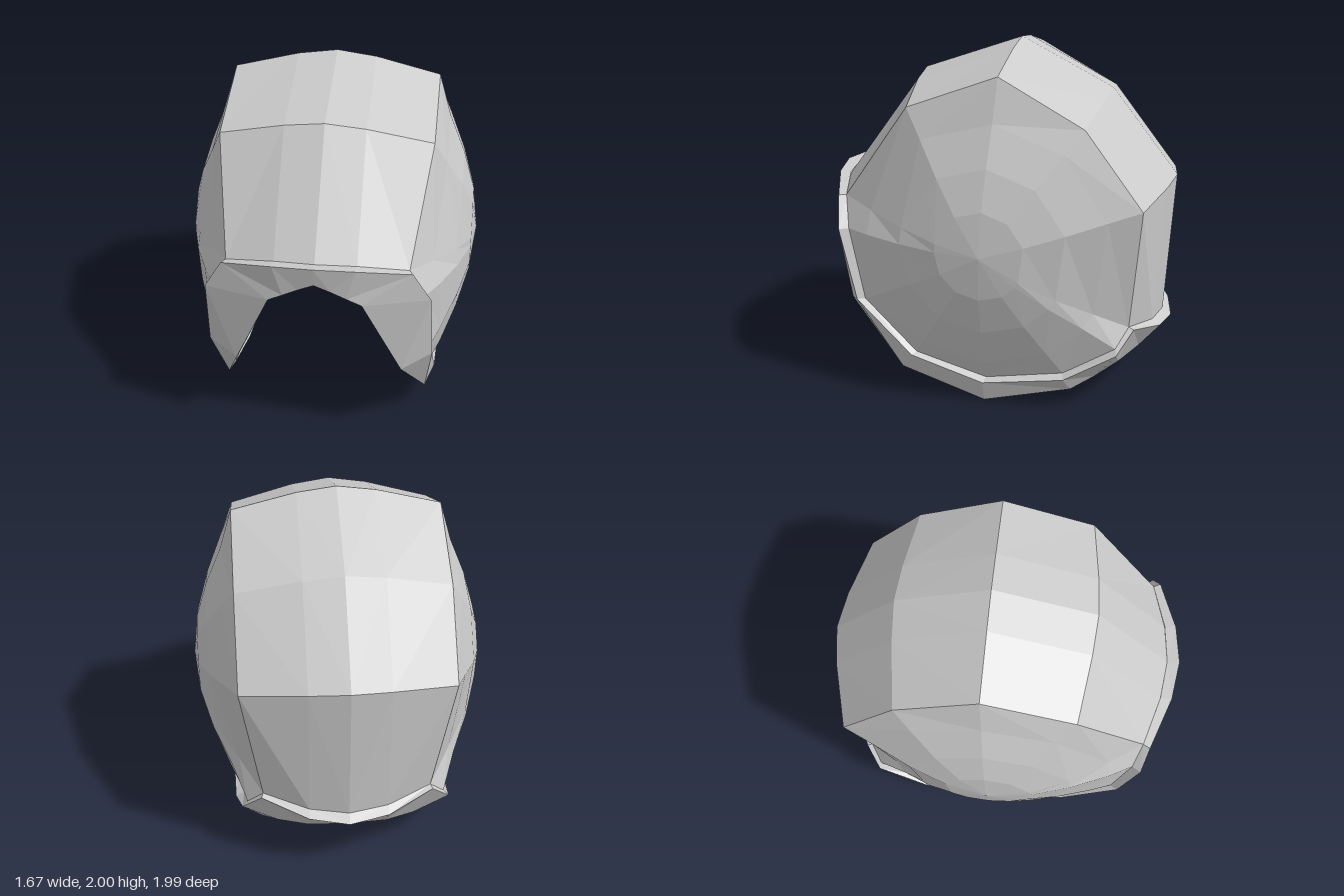
import * as THREE from 'three';

const V = (x, y, z) => new THREE.Vector3(x, y, z);
const HUB = V(0, 0.95, -0.03);

// Copy of a point moved towards the middle of the head and slightly down
const inset = (p, scale, drop) => p.clone().sub(HUB).multiplyScalar(scale).add(HUB).setY(
  HUB.y + (p.y - HUB.y) * scale - drop);
const toLining = p => inset(p, 0.955, 0.024);
const toLiningSeat = p => inset(p, 0.99, 0.04);

const material = new THREE.MeshStandardMaterial({
  color: 0xcccccc, flatShading: true, side: THREE.DoubleSide,
});

// Skin a grid of left-hand points: each row is a cross-section.
// side = 1 keeps the left half, -1 mirrors it; both wind outwards.
function skin(name, rows, side, reversed = false) {
  const n = rows[0].length, index = [];
  const flip = (side < 0) !== reversed;
  const tri = (a, b, c) => (flip ? index.push(a, c, b) : index.push(a, b, c));
  for (let i = 0; i < rows.length - 1; i++) {
    for (let j = 0; j < n - 1; j++) {
      const a = i * n + j, b = a + 1, d = a + n, c = d + 1;
      tri(a, b, d);
      tri(b, c, d);
    }
  }
  const points = rows.flat().map(p => V(p.x * side, p.y, p.z));
  const geometry = new THREE.BufferGeometry().setFromPoints(points);
  geometry.setIndex(index);
  geometry.computeVertexNormals();
  const mesh = new THREE.Mesh(geometry, material);
  mesh.name = name;
  return mesh;
}

// Half loops around the opening, from front centre to back centre
const shellRim = [
  V(0, 1.2, 0.93), V(0.22, 1.19, 0.905), V(0.49, 1.14, 0.83), V(0.58, 0.97, 0.79),
  V(0.6, 0.56, 0.7), V(0.6, 0.26, 0.4), V(0.59, 0.14, -0.01), V(0.58, 0.21, -0.45),
  V(0.56, 0.38, -0.74), V(0.47, 0.48, -0.8), V(0.22, 0.435, -0.9), V(0, 0.42, -0.94),
];
const trimOuter = [
  V(0, 1.21, 1), V(0.22, 1.195, 0.97), V(0.51, 1.14, 0.87), V(0.61, 0.97, 0.84),
  V(0.625, 0.56, 0.74), V(0.635, 0.25, 0.42), V(0.64, 0.125, 0), V(0.63, 0.19, -0.46),
  V(0.59, 0.35, -0.75), V(0.48, 0.47, -0.83), V(0.22, 0.4, -0.95), V(0, 0.38, -0.99),
];
const trimLower = [
  V(0, 1.1, 0.975), V(0.085, 1.06, 0.965), V(0.17, 1.015, 0.955), V(0.25, 0.97, 0.94),
  V(0.46, 0.5, 0.83), V(0.585, 0.15, 0.49), V(0.6, 0, 0), V(0.55, 0.1, -0.49),
  V(0.48, 0.165, -0.62), V(0.39, 0.23, -0.74), V(0.22, 0.26, -0.83), V(0, 0.285, -0.87),
];
const trimInner = [
  V(0, 1.1, 0.9), V(0.085, 1.06, 0.895), V(0.17, 1.015, 0.885), V(0.25, 0.97, 0.87),
  V(0.45, 0.5, 0.77), V(0.55, 0.19, 0.45), V(0.555, 0.06, 0), V(0.51, 0.15, -0.46),
  V(0.44, 0.21, -0.58), V(0.37, 0.285, -0.69), V(0.21, 0.31, -0.79), V(0, 0.335, -0.82),
];

// Crown profile: centre line and side edge, front to back
const crownMid = [shellRim[0], V(0, 1.8, 0.49), V(0, 2, -0.08), V(0, 1.73, -0.61),
  V(0, 1.245, -0.99), shellRim[11]];
const crownEdge = [shellRim[2], V(0.58, 1.69, 0.43), V(0.58, 1.88, -0.08),
  V(0.58, 1.62, -0.55), V(0.58, 1.19, -0.87), shellRim[9]];

const crownRows = crownMid.map((mid, i) => {
  const between = mid.clone().lerp(crownEdge[i], 0.25).setX(0.22);
  return [mid, between, crownEdge[i]];
});

// Rounded side: outer outline, then circles closing on the middle.
// Each ring has a radius, a distance out, and how far it follows the outline.
const outline = [...crownEdge.slice(1), ...shellRim.slice(2, 9).reverse(), crownEdge[1]];
const rings = [[0.69, 0.65, 0.5], [0.47, 0.74, 0.15], [0.25, 0.805, 0], [0, 0.835, 0]];
const sideRows = [outline, ...rings.map(([radius, x, follow]) => outline.map(p => {
  const dy = p.y - HUB.y, dz = p.z - HUB.z, k = radius / Math.hypot(dy, dz);
  return V(x + (p.x - 0.58) * follow, HUB.y + dy * k, HUB.z + dz * k);
}))];

// Trim section: brim, arched face edge, fold under, seat and edge of the lining
const trimRows = [shellRim, trimOuter, trimLower, trimInner,
  shellRim.map(toLiningSeat), shellRim.map(toLining)].map(row => [...row].reverse());

export function createModel() {
  const model = new THREE.Group();
  model.name = 'helmet';
  const lined = rows => rows.map(row => row.map(toLining));

  for (const [label, side] of [['left', 1], ['right', -1]]) {
    const half = new THREE.Group();
    half.name = `${label}Half`;
    half.add(
      // Outer shell
      skin('crown', crownRows, side),
      skin('sideDome', sideRows, side, true),
      // Hollow lining, facing inwards
      skin('crownLining', lined(crownRows), side, true),
      skin('sideLining', lined(sideRows), side),
      // Trim around the opening
      skin('trim', trimRows, side),
    );
    model.add(half);
  }
  return model;
}
